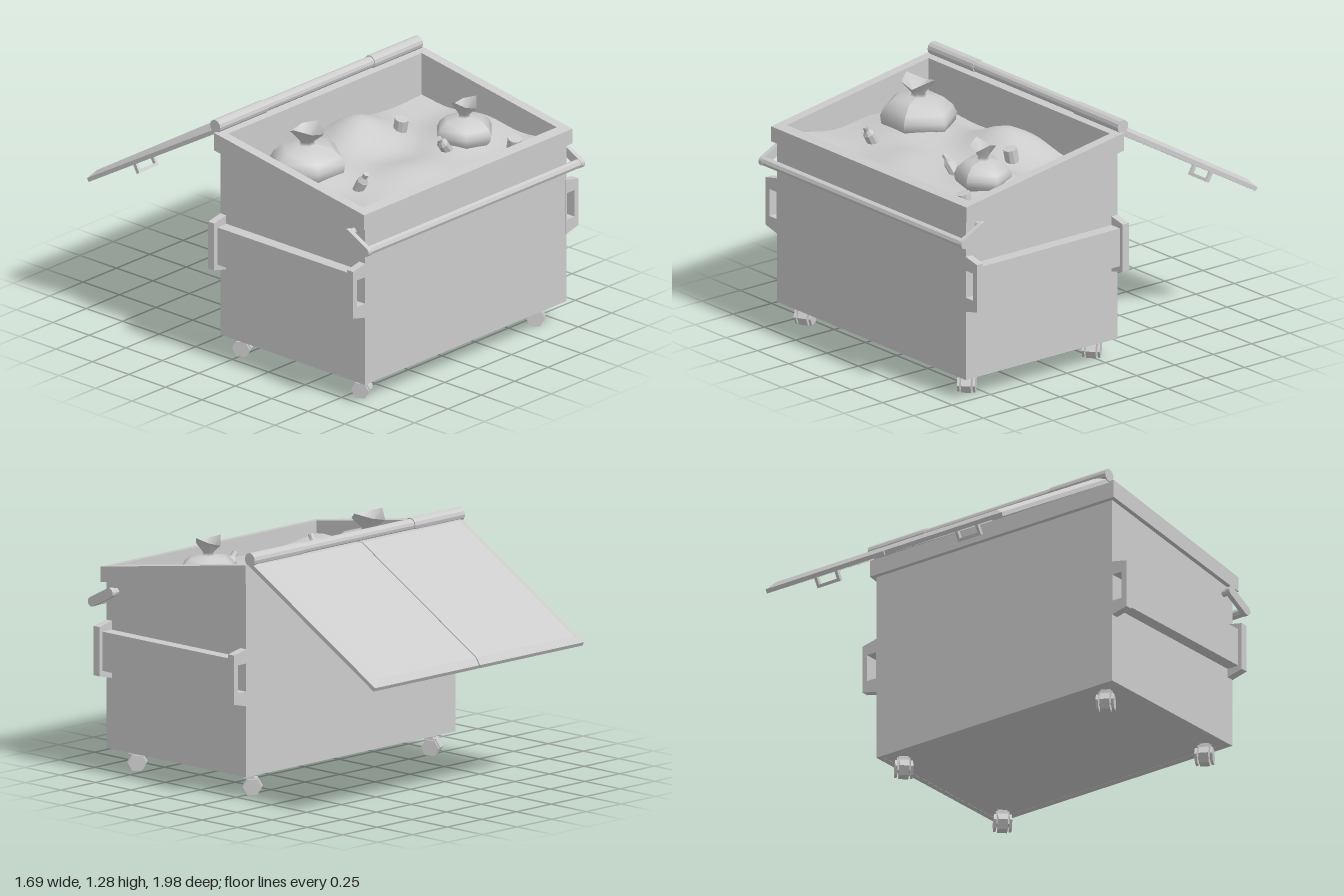
import * as THREE from 'three';

const grey = new THREE.MeshStandardMaterial({ color: 0xcccccc, flatShading: true });
const smooth = new THREE.MeshStandardMaterial({ color: 0xcccccc, side: THREE.DoubleSide });

function add(parent, name, geo, x = 0, y = 0, z = 0, mat = grey) {
  const mesh = new THREE.Mesh(geo, mat);
  mesh.name = name;
  mesh.position.set(x, y, z);
  parent.add(mesh);
  return mesh;
}
const box = (w, h, d) => new THREE.BoxGeometry(w, h, d);
const rod = (r, len, sides = 8) => new THREE.CylinderGeometry(r, r, len, sides).rotateZ(Math.PI / 2);

function moveVertices(geo, rule) {
  const p = geo.attributes.position;
  const v = new THREE.Vector3();
  for (let i = 0; i < p.count; i++) {
    v.fromBufferAttribute(p, i);
    rule(v);
    p.setXYZ(i, v.x, v.y, v.z);
  }
  geo.computeVertexNormals();
  return geo;
}

function rect(Type, x0, y0, x1, y1) {
  return new Type([[x0, y0], [x1, y0], [x1, y1], [x0, y1]].map(([x, y]) => new THREE.Vector2(x, y)));
}

// Upright rectangular ring whose bottom and top follow height rules of z
function slopedRing(hx, zBack, zFront, bottom, top) {
  const s = rect(THREE.Shape, -hx, -zFront, hx, -zBack);
  s.holes.push(rect(THREE.Path, -0.725, -0.875, 0.725, 0.05));
  const g = new THREE.ExtrudeGeometry(s, { depth: 1, bevelEnabled: false }).rotateX(-Math.PI / 2);
  return moveVertices(g, v => { v.y = v.y > 0.5 ? top(v.z) : bottom(v.z); });
}
const rimBottom = z => 0.98 + (0.93 - z) * 0.146;
const rimTop = z => 1.06 + (0.93 - z) * 0.161;

// Uneven surface of the rubbish
function heapHeight(x, z) {
  const bump = (cx, cz, r, h) => h * Math.exp(-((x - cx) ** 2 + (z - cz) ** 2) / (r * r));
  return 0.985 + 0.015 * Math.sin(7 * x + 1) * Math.cos(8 * z) + 0.012 * Math.sin(13 * z + 4 * x)
    + bump(0.08, 0.12, 0.2, 0.1) + bump(-0.45, 0.25, 0.25, 0.04) + bump(0.42, 0.5, 0.2, 0.03)
    + bump(-0.1, 0.55, 0.18, 0.03);
}

// Fork pocket: through tube with a tapered flange at each end
function pocket(side) {
  const g = new THREE.Group();
  g.name = 'forkPocket';
  const extrude = (pts, hole, depth, z, name) => {
    const s = new THREE.Shape(pts.map(([x, y]) => new THREE.Vector2(x, y)));
    s.holes.push(rect(THREE.Path, ...hole));
    add(g, name, new THREE.ExtrudeGeometry(s, { depth, bevelEnabled: false }), 0, 0, z);
  };
  const hole = [0.757, 0.565, 0.815, 0.71];
  extrude([[0.75, 0.535], [0.822, 0.535], [0.822, 0.738], [0.75, 0.738]], hole, 0.96, -0.06, 'pocketTube');
  for (const z of [-0.077, 0.875])
    extrude([[0.75, 0.487], [0.845, 0.51], [0.845, 0.765], [0.75, 0.785]], hole, 0.041, z, 'pocketFlange');
  if (side < 0) g.rotation.y = Math.PI, g.position.z = 0.839;
  return g;
}

function caster(x, z, yaw) {
  const g = new THREE.Group();
  g.name = 'caster';
  add(g, 'casterStem', box(0.05, 0.035, 0.05), 0, 0.107, 0);
  for (const s of [-1, 1]) add(g, 'casterFork', box(0.01, 0.07, 0.04), s * 0.03, 0.075, -0.01);
  add(g, 'casterWheel', rod(0.05, 0.05, 6), 0, 0.048, -0.02);
  for (const s of [-1, 1]) add(g, 'wheelHub', rod(0.046, 0.012, 6), s * 0.04, 0.048, -0.02);
  g.position.set(x, 0, z);
  g.rotation.y = yaw;
  return g;
}

// Tied bag: six sided sack with a pinched neck and a ragged open top
function bag(x, z, r, base, top, tip, turn) {
  const h = top - base;
  const pts = [[0.01, 0], [0.65, 0.08], [0.97, 0.4], [1, 0.58], [0.9, 0.76], [0.64, 0.95], [0.22, 1]]
    .map(([a, b]) => new THREE.Vector2(a * r, base + b * h));
  pts.push(new THREE.Vector2(0.17 * r, top + 0.015), new THREE.Vector2(0.45 * r, tip));
  const geo = moveVertices(new THREE.LatheGeometry(pts, 6), v => {
    const a = Math.atan2(v.z, v.x);
    const k = 1 + 0.08 * Math.sin(2 * a + turn);
    v.x *= k;
    v.z *= k;
    if (v.y > tip - 0.01) v.y += 0.025 * Math.sin(2 * a + 1) - 0.015;
  });
  const m = add(new THREE.Group(), 'rubbishBag', geo, x, 0, z, smooth);
  m.rotation.y = turn;
  return m;
}

// One lid half, hinged at local z = 0 and reaching to -z
function lidHalf(side) {
  const g = new THREE.Group();
  g.name = side > 0 ? 'leftLid' : 'rightLid';
  const w = 0.752, L = 1.015, cx = side * (0.003 + w / 2);
  const panel = moveVertices(box(w, 0.02, L), v => {
    if (v.y > 0) {
      if (v.x * side > 0) v.x -= side * 0.05;
      v.z -= Math.sign(v.z) * 0.04;
    }
  });
  add(g, 'lidPanel', panel, cx, 0.01, -L / 2);
  for (const s of [-1, 1]) add(g, 'lidSideLip', box(0.015, 0.022, L), cx + s * (w / 2 - 0.0075), -0.01, -L / 2);
  for (const z of [-0.0075, -L + 0.0075]) add(g, 'lidEndLip', box(w, 0.022, 0.015), cx, -0.01, z);
  for (let i = 1; i < 6; i++) add(g, 'lidRib', box(w - 0.03, 0.014, 0.02), cx, -0.006, -L * i / 6);
  const hx = side * 0.45;
  for (const s of [-1, 1]) add(g, 'lidHandlePost', box(0.016, 0.07, 0.02), hx + s * 0.065, -0.035, -0.9);
  add(g, 'lidHandleGrip', box(0.146, 0.016, 0.02), hx, -0.067, -0.9);
  return g;
}

export function createModel() {
  const model = new THREE.Group();
  model.name = 'dumpster';

  // Container, floor and sloping rim
  add(model, 'bodyWalls', slopedRing(0.755, -0.077, 0.914, () => 0.12, z => rimBottom(z) + 0.02));
  add(model, 'floor', box(1.46, 0.03, 0.94), 0, 0.136, 0.412);
  add(model, 'rim', slopedRing(0.78, -0.097, 0.932, rimBottom, rimTop));

  // Side pockets and casters
  for (const s of [-1, 1]) {
    model.add(pocket(s));
    for (const z of [0.825, 0.01]) model.add(caster(s * 0.65, z, s > 0 ? 0.75 : 0.5));
  }

  // Front push bar on two rounded arms
  const bar = new THREE.Group();
  bar.name = 'pushBar';
  model.add(bar);
  const reach = Math.hypot(0.125, 0.065), tilt = Math.atan2(0.065, 0.125);
  const arm = new THREE.Shape();
  arm.absarc(0, 0, 0.025, Math.PI / 2, Math.PI * 1.5);
  arm.absarc(reach, 0, 0.025, -Math.PI / 2, Math.PI / 2);
  const armGeo = new THREE.ExtrudeGeometry(arm, { depth: 0.026, bevelEnabled: false, curveSegments: 6 })
    .rotateY(-Math.PI / 2).rotateX(tilt).translate(0.013, 0, 0);
  for (const s of [-1, 1]) {
    add(bar, 'barArm', armGeo, s * 0.798, 0.942, 0.84);
    add(bar, 'barPivot', rod(0.018, 0.05), s * 0.77, 0.942, 0.84);
  }
  add(bar, 'barGrip', rod(0.024, 1.6), 0, 0.877, 0.965);

  // Hinge tube and the two opened lids
  add(model, 'hingeTube', rod(0.03, 0.8, 12), 0, 1.252, -0.107);
  for (const s of [-1, 1]) {
    add(model, 'hingeSleeve', rod(0.035, 0.36, 12), s * 0.58, 1.252, -0.107);
    const lid = lidHalf(s);
    lid.position.set(0, 1.233, -0.112);
    lid.rotation.x = -0.527;
    model.add(lid);
  }

  // Rubbish heap
  const heap = new THREE.PlaneGeometry(1.46, 0.935, 28, 18).rotateX(-Math.PI / 2).translate(0, 0, 0.4125);
  add(model, 'rubbishHeap', moveVertices(heap, v => { v.y = heapHeight(v.x, v.z); }), 0, 0, 0, smooth);
  model.add(bag(-0.45, 0.24, 0.205, 0.93, 1.16, 1.255, 0.5));
  model.add(bag(0.415, 0.525, 0.155, 0.94, 1.125, 1.215, 0.3));

  // Loose cans and bottles
  for (const [x, z, rx, rz] of [[0.27, 0.22, 0.2, 0], [0.545, 0.745, 0.25, 0.1]]) {
    const can = add(model, 'can', new THREE.CylinderGeometry(0.036, 0.036, 0.1, 10), x, heapHeight(x, z) + 0.015, z);
    can.rotation.set(rx, 0, rz);
  }
  for (const [x, z, rx, rz] of [[-0.418, 0.57, 0.5, 0], [0.23, 0.565, 0.15, 0.7]]) {
    const bottle = new THREE.Group();
    bottle.name = 'bottle';
    add(bottle, 'bottleBody', new THREE.CylinderGeometry(0.03, 0.03, 0.09, 8));
    add(bottle, 'bottleShoulder', new THREE.CylinderGeometry(0.014, 0.03, 0.025, 8), 0, 0.057, 0);
    add(bottle, 'bottleNeck', new THREE.CylinderGeometry(0.016, 0.014, 0.03, 8), 0, 0.08, 0);
    bottle.position.set(x, heapHeight(x, z) + 0.015, z);
    bottle.rotation.set(rx, 0, rz);
    model.add(bottle);
  }
  return model;
}
